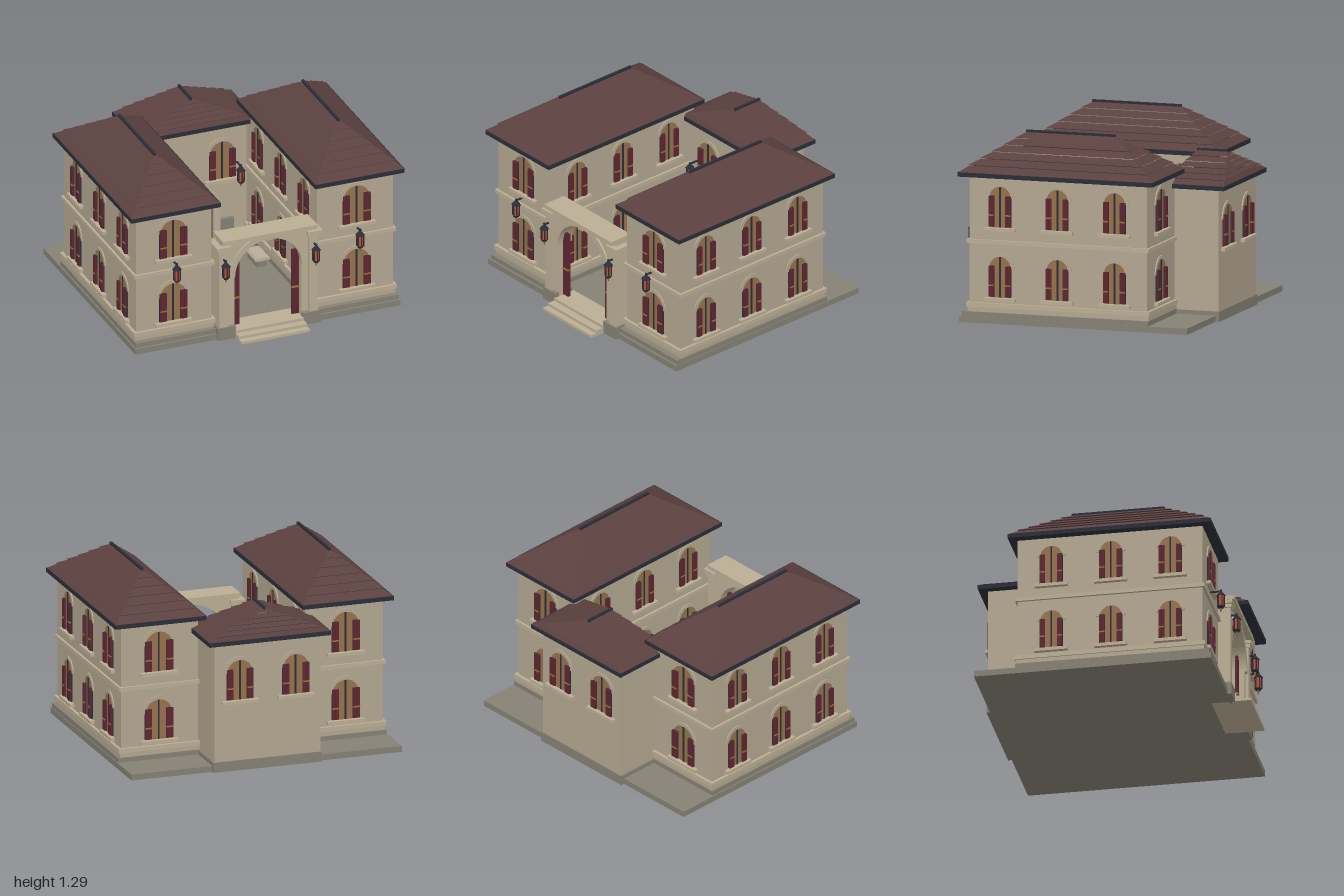
import * as THREE from 'three';

const mat = (name, color) => Object.assign(new THREE.MeshStandardMaterial({ color }), { name });
const M = {
  wall: mat('wall plaster', 0xb3a791),
  trim: mat('pale stone', 0xbbae94),
  stone: mat('grey stone', 0x858174),
  roof: mat('roof tile', 0x5b4140),
  dark: mat('dark slate', 0x2b2e38),
  glass: mat('amber pane', 0x96724e),
  red: mat('shutter red', 0x5e2631),
  glow: mat('lantern glow', 0xcf5138),
  gold: mat('brass', 0x94743a),
  shade: mat('tympanum brown', 0x5c4340),
};

function add(parent, name, geo, material, x = 0, y = 0, z = 0) {
  const m = new THREE.Mesh(geo, material);
  m.name = name;
  m.position.set(x, y, z);
  parent.add(m);
  return m;
}
// Box given by its limits on each axis
function box(parent, name, material, x0, x1, y0, y1, z0, z1) {
  const g = new THREE.BoxGeometry(Math.abs(x1 - x0), y1 - y0, z1 - z0);
  return add(parent, name, g, material, (x0 + x1) / 2, (y0 + y1) / 2, (z0 + z1) / 2);
}
function group(parent, name, x = 0, y = 0, z = 0, ry = 0) {
  const g = new THREE.Group();
  g.name = name;
  g.position.set(x, y, z);
  g.rotation.y = ry;
  parent.add(g);
  return g;
}
const extrude = (shape, depth) =>
  new THREE.ExtrudeGeometry(shape, { depth, bevelEnabled: false, curveSegments: 16 });

// Round-headed opening outline: half width r, springing height s
function archPath(r, s, y0 = 0, Type = THREE.Shape) {
  const p = new Type();
  p.moveTo(-r, y0);
  p.lineTo(r, y0);
  p.lineTo(r, s);
  p.absarc(0, s, r, 0, Math.PI, false);
  p.lineTo(-r, y0);
  return p;
}
// Half ring over an opening
function ringShape(r0, r1, s, a0 = 0, a1 = Math.PI) {
  const p = new THREE.Shape();
  p.absarc(0, s, r1, a0, a1, false);
  p.absarc(0, s, r0, a1, a0, true);
  p.closePath();
  return p;
}

// Hipped roof in overlapping courses, with eaves board and ridge cap
function hipRoof(parent, name, cx, cz, hx, hz, y0, y1, ridge, n) {
  const g = group(parent, name, cx, 0, cz);
  const pos = [];
  const quad = (a, b, c, d) => pos.push(...a, ...b, ...c, ...a, ...c, ...d);
  const rect = (t, grow, dy) => {
    const x = hx * (1 - t) + 0.004 * t + grow, z = hz + (ridge - hz) * t + grow, y = y0 + (y1 - y0) * t + dy;
    return [[-x, y, z], [x, y, z], [x, y, -z], [-x, y, -z]];
  };
  for (let i = 0; i < n; i++) {
    const lo = rect(i / n, i ? 0.006 : -0.004, i ? 0.005 : 0);
    const hi = rect((i + 1) / n, 0, 0);
    for (let k = 0; k < 4; k++) {
      const j = (k + 1) % 4;
      quad(lo[k], lo[j], hi[j], hi[k]);
    }
    quad(lo[3], lo[2], lo[1], lo[0]);
    if (i === n - 1) quad(...hi);
  }
  const geo = new THREE.BufferGeometry();
  geo.setAttribute('position', new THREE.Float32BufferAttribute(pos, 3));
  geo.computeVertexNormals();
  add(g, 'roofCourses', geo, M.roof);
  box(g, 'eavesBoard', M.dark, -hx, hx, y0 - 0.03, y0, -hz, hz);
  box(g, 'ridgeCap', M.dark, -0.009, 0.009, y1 - 0.012, y1 + 0.012, -ridge - 0.01, ridge + 0.01);
}

// Arched window with sill, surround and two shutters, facing +z
function archWindow(parent, w, x, y, z, ry) {
  const g = group(parent, 'window', x, y, z, ry);
  const r = w / 2, h = 0.28, s = h - r;
  add(g, 'pane', extrude(archPath(r, s), 0.004), M.glass);
  add(g, 'archSurround', extrude(ringShape(r, r + 0.025, s), 0.008), M.wall);
  box(g, 'mullion', M.dark, -0.006, 0.006, 0, h - 0.003, 0, 0.008);
  box(g, 'sill', M.trim, -r - 0.038, r + 0.038, -0.025, -0.002, 0, 0.03);
  const sw = w * 0.25;
  for (const side of [-1, 1]) {
    const c = side * (r - sw * 0.4);
    for (const k of [-1, 1])
      box(g, 'shutterSlat', M.red, c + k * 0.001, c + k * sw / 2, 0.006, 0.215, 0.004, 0.02);
    box(g, 'shutterBack', M.dark, c - sw / 2, c + sw / 2, 0.004, 0.217, 0, 0.012);
    box(g, 'shutterBar', M.gold, c - sw / 2, c + sw / 2, 0.08, 0.09, 0.004, 0.023);
  }
}

// Hexagonal lantern on a wall bracket; y is the middle of the glass
function lantern(parent, x, y, z, reach) {
  const g = group(parent, 'lantern', x, y, z);
  add(g, 'lanternGlass', new THREE.CylinderGeometry(0.023, 0.019, 0.08, 6), M.glow);
  add(g, 'lanternCap', new THREE.CylinderGeometry(0.006, 0.034, 0.034, 6), M.dark, 0, 0.057);
  add(g, 'lanternKnob', new THREE.SphereGeometry(0.008, 8, 6), M.dark, 0, 0.08);
  add(g, 'lanternBase', new THREE.CylinderGeometry(0.026, 0.018, 0.014, 6), M.dark, 0, -0.046);
  add(g, 'lanternFinial', new THREE.CylinderGeometry(0.01, 0.003, 0.03, 6), M.gold, 0, -0.066);
  for (let i = 0; i < 6; i++) {
    const a = (i * Math.PI) / 3;
    add(g, 'lanternPost', new THREE.BoxGeometry(0.007, 0.085, 0.007), M.dark,
      Math.sin(a) * 0.023, 0, Math.cos(a) * 0.023);
  }
  box(g, 'bracket', M.dark, -0.005, 0.005, 0.068, 0.078, -reach, 0);
}

// Two-storey side wing, s = +1 or -1
function wing(root, s) {
  const g = group(root, s > 0 ? 'leftWing' : 'rightWing', s * 0.663);
  const hx = 0.277, zf = 0.72, zb = -0.552;
  const band = (name, m, y0, y1, o) => box(g, name, m, -hx - o, hx + o, y0, y1, zb - o, zf + o);
  band('walls', M.wall, 0.04, 1.01, 0);
  box(g, 'plinth', M.stone, -hx - 0.02, hx + 0.025, 0.04, 0.075, zb - 0.015, 0.77);
  band('plinthStep', M.wall, 0.075, 0.108, 0.012);
  band('baseMoulding', M.trim, 0.108, 0.138, 0.02);
  band('stringCourse', M.trim, 0.543, 0.57, 0.016);
  for (const y of [0.178, 0.658]) {
    archWindow(g, 0.19, s * 0.007, y, zf, 0);
    archWindow(g, 0.19, s * 0.007, y, zb, Math.PI);
    for (const z of [0.5, 0.09, -0.32]) {
      archWindow(g, 0.15, hx, y, z, Math.PI / 2);
      archWindow(g, 0.15, -hx, y, z, -Math.PI / 2);
    }
  }
  lantern(g, s * 0.007, 0.555, 0.795, 0.075);
  hipRoof(root, 'wingRoof', s * 0.672, 0.088, 0.327, 0.698, 1.03, 1.28, 0.31, 6);
}

// Rear hall with the main door
function hall(root) {
  const g = group(root, 'rearHall');
  const zf = -0.52, zb = -0.865;
  box(g, 'walls', M.wall, -0.38, 0.38, 0.04, 0.91, zb, zf);
  box(g, 'plinth', M.stone, -0.39, 0.39, 0, 0.07, zb - 0.008, zf + 0.01);
  for (const x of [-0.2, 0.2]) {
    archWindow(g, 0.18, x, 0.5, zf, 0);
    archWindow(g, 0.18, x, 0.5, zb, Math.PI);
    lantern(g, x * 1.55, 0.53, zf + 0.072, 0.072);
  }
  hipRoof(root, 'hallRoof', 0, -0.692, 0.435, 0.232, 0.935, 1.105, 0.1, 6);

  // Door and stone portal
  const d = group(g, 'portal', 0, 0, zf);
  add(d, 'tympanum', extrude(archPath(0.13, 0.315, 0.05), 0.008), M.shade);
  for (const s of [-1, 1]) {
    box(d, 'doorLeaf', M.glass, s * 0.004, s * 0.12, 0.065, 0.3, 0, 0.016);
    for (const x of [0.008, 0.062, 0.116])
      box(d, 'doorStile', M.dark, s * (x - 0.003), s * (x + 0.003), 0.065, 0.3, 0, 0.018);
    box(d, 'doorHandle', M.gold, s * 0.008, s * 0.022, 0.22, 0.25, 0, 0.026);
    box(d, 'jamb', M.trim, s * 0.13, s * 0.175, 0.04, 0.315, 0, 0.035);
    box(d, 'jambBase', M.stone, s * 0.135, s * 0.28, 0.04, 0.2, 0, 0.025);
  }
  const n = 9, step = Math.PI / n;
  for (let i = 0; i < n; i++) {
    const key = i === 4 ? 0.012 : 0;
    add(d, 'voussoir', extrude(ringShape(0.13, 0.17 + key, 0.315, i * step + 0.01, (i + 1) * step - 0.01), 0.035 + key), M.trim);
  }
  box(d, 'doorStep', M.trim, -0.19, 0.19, 0.04, 0.06, 0, 0.07);
}

// Arched gateway between the wings
function gateway(root) {
  const g = group(root, 'gateway');
  const wall = archPath(0.245, 0.45, 0.04, THREE.Path);
  const face = new THREE.Shape();
  face.moveTo(-0.34, 0.04);
  face.lineTo(0.34, 0.04);
  face.lineTo(0.34, 0.725);
  face.lineTo(-0.34, 0.725);
  face.closePath();
  face.holes.push(wall);
  add(g, 'gateWall', extrude(face, 0.1), M.trim, 0, 0, 0.68);
  add(g, 'archMoulding', extrude(ringShape(0.245, 0.285, 0.45), 0.13), M.trim, 0, 0, 0.665);
  box(g, 'cornice', M.trim, -0.345, 0.345, 0.72, 0.75, 0.65, 0.825);
  box(g, 'keystone', M.trim, -0.025, 0.025, 0.69, 0.722, 0.67, 0.805);
  box(g, 'threshold', M.trim, -0.25, 0.25, 0, 0.06, 0.65, 0.82);
  box(g, 'middleStep', M.trim, -0.25, 0.25, 0, 0.04, 0.82, 0.875);
  box(g, 'lowerStep', M.trim, -0.25, 0.25, 0, 0.02, 0.875, 0.92);
  for (const s of [-1, 1]) {
    box(g, 'pierBase', M.stone, s * 0.245, s * 0.375, 0, 0.09, 0.66, 0.81);
    box(g, 'pilaster', M.trim, s * 0.295, s * 0.36, 0.09, 0.65, 0.67, 0.8);
    box(g, 'capitalLower', M.trim, s * 0.29, s * 0.37, 0.65, 0.675, 0.66, 0.81);
    box(g, 'capitalUpper', M.trim, s * 0.28, s * 0.385, 0.675, 0.7, 0.655, 0.818);
    // Folded gate leaf
    for (let i = 0; i < 3; i++) {
      const x = 0.191 + i * 0.018;
      box(g, 'gatePlank', M.red, s * x, s * (x + 0.016), 0.065, 0.55, 0.725, 0.745);
    }
    box(g, 'gateBacking', M.dark, s * 0.192, s * 0.243, 0.067, 0.548, 0.73, 0.74);
    box(g, 'gateBand', M.gold, s * 0.19, s * 0.245, 0.262, 0.276, 0.722, 0.748);
    lantern(g, s * 0.33, 0.53, 0.838, 0.04);
    // Courtyard bench
    box(g, 'benchBase', M.stone, s * 0.255, s * 0.33, 0.04, 0.09, -0.195, -0.03);
    box(g, 'benchSeat', M.trim, s * 0.24, s * 0.345, 0.09, 0.105, -0.21, -0.015);
    box(g, 'benchTop', M.trim, s * 0.25, s * 0.335, 0.105, 0.11, -0.2, -0.025);
  }
}

export function createModel() {
  const root = new THREE.Group();
  root.name = 'courtyardVilla';
  box(root, 'groundSlab', M.stone, -0.97, 0.97, 0, 0.042, -0.848, 0.785);
  for (const s of [-1, 1]) wing(root, s);
  hall(root);
  gateway(root);
  return root;
}
